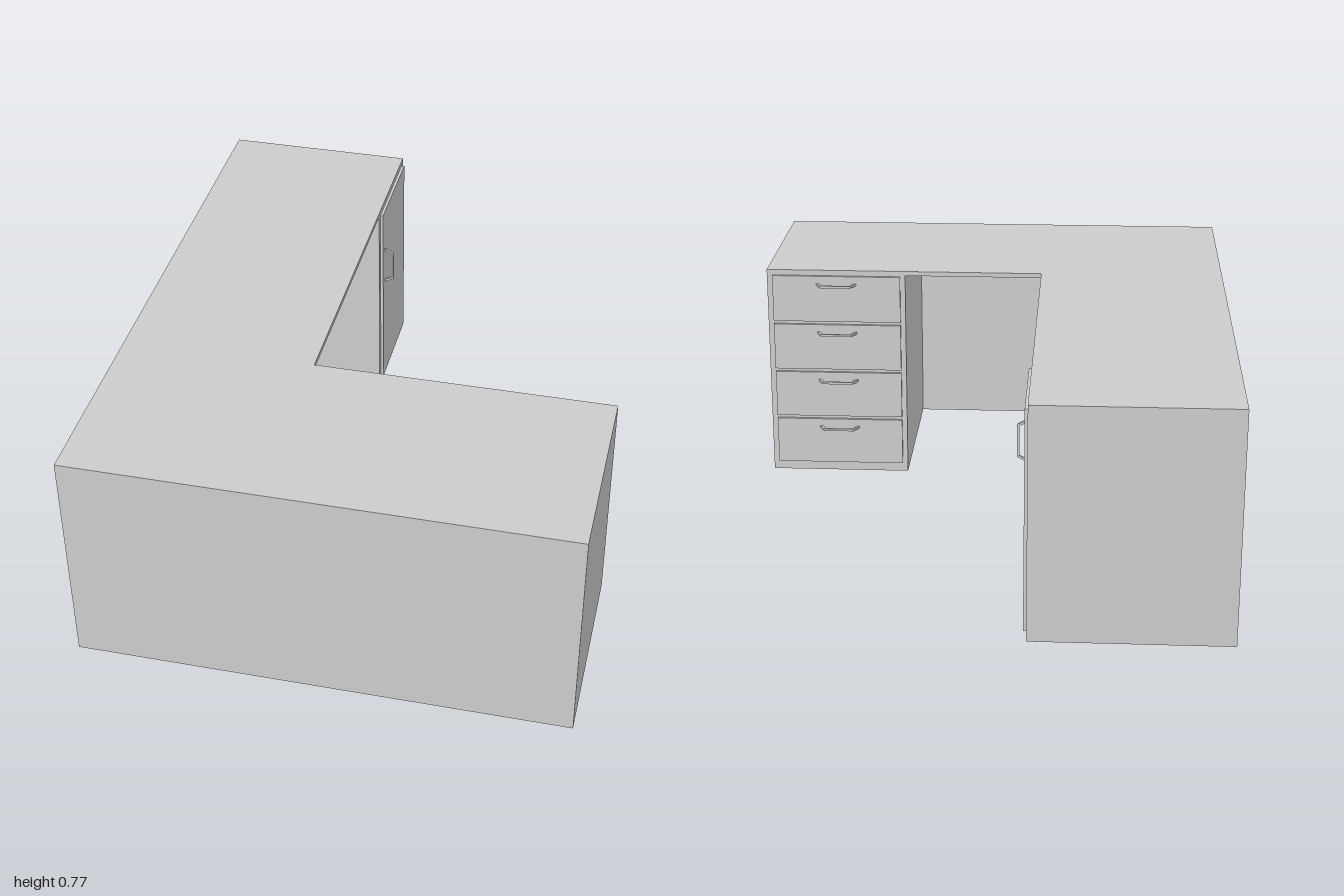
import * as THREE from 'three';

const material = new THREE.MeshStandardMaterial({ color: 0xcccccc, flatShading: true });

// Box given by its minimum and maximum corners
function box(name, [x0, y0, z0], [x1, y1, z1]) {
  const mesh = new THREE.Mesh(new THREE.BoxGeometry(x1 - x0, y1 - y0, z1 - z0), material);
  mesh.position.set((x0 + x1) / 2, (y0 + y1) / 2, (z0 + z1) / 2);
  mesh.name = name;
  return mesh;
}

// Extruded outline, given as [u, v] points
function slab(name, points, depth) {
  const shape = new THREE.Shape(points.map(([u, v]) => new THREE.Vector2(u, v)));
  const mesh = new THREE.Mesh(new THREE.ExtrudeGeometry(shape, { depth, bevelEnabled: false }), material);
  mesh.name = name;
  return mesh;
}

// Bent bar pull: spans x, stands out towards +z
function pull(name) {
  const mesh = slab(name, [
    [-0.073, 0], [-0.055, 0.036], [0.055, 0.036], [0.073, 0],
    [0.064, 0], [0.05, 0.029], [-0.05, 0.029], [-0.064, 0],
  ], 0.008);
  mesh.geometry.translate(0, 0, -0.004).rotateX(Math.PI / 2);
  return mesh;
}

export function createModel() {
  const group = new THREE.Group();
  const L = -0.813, R = 0.813, H = 0.77, T = 0.016;
  const inX = -0.172, inZ = 0.335, under = H - T;

  // L-shaped worktop
  const top = slab('worktop', [[L, -1], [R, -1], [R, -inZ], [inX, -inZ], [inX, 1], [L, 1]], T);
  top.rotation.x = -Math.PI / 2;
  top.position.y = under;
  group.add(top);

  // Front panel, and side panel raised between corner and cabinet
  group.add(box('frontPanel', [L, 0, 1 - T], [R, under, 1]));
  const side = slab('sidePanel', [
    [-(1 - T), 0], [-inZ, 0], [-inZ, 0.155], [0.6, 0.155], [0.6, under], [-(1 - T), under],
  ], T);
  side.rotation.y = Math.PI / 2;
  side.position.x = L;
  group.add(side);

  // Drawer cabinet with four drawers
  group.add(box('drawerCabinet', [0.315, 0, inZ], [R, under, 1 - T]));
  for (let i = 0; i < 4; i++) {
    const y = 0.034 + i * 0.182;
    group.add(box('drawerFront', [0.333, y, inZ - 0.01], [0.793, y + 0.17, inZ]));
    const handle = pull('drawerHandle');
    handle.rotation.y = Math.PI;
    handle.position.set(0.563, y + 0.14, inZ - 0.008);
    group.add(handle);
  }

  // Door cabinet with its door
  group.add(box('doorCabinet', [L, 0, -1], [inX, under, -0.6]));
  group.add(box('door', [inX, 0.025, -0.98], [inX + 0.01, 0.75, -0.62]));
  const doorHandle = pull('doorHandle');
  doorHandle.rotation.set(0, Math.PI / 2, Math.PI / 2, 'YXZ');
  doorHandle.position.set(inX + 0.008, 0.52, -0.648);
  group.add(doorHandle);

  return group;
}
